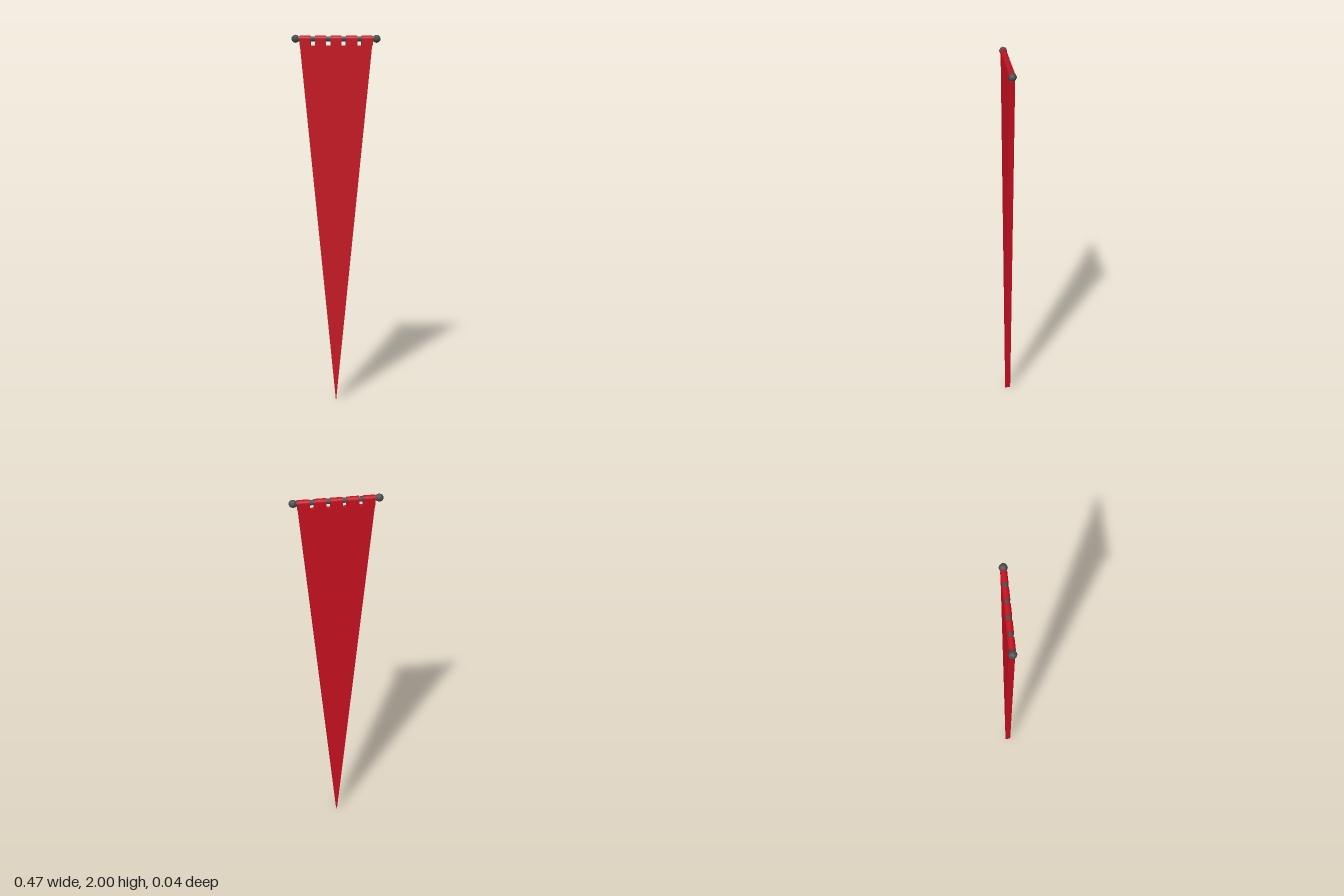
import * as THREE from 'three';

const HALF = 0.015; // half thickness of the cloth
const ROD_Y = 1.979;
const NOTCH_Y = 1.945;

export function createModel() {
  const group = new THREE.Group();
  const red = new THREE.MeshStandardMaterial({ color: 0xc4101f });
  const iron = new THREE.MeshStandardMaterial({ color: 0x4c4f4f });

  const add = (geometry, material, name, x = 0, y = 0) => {
    const mesh = new THREE.Mesh(geometry, material);
    mesh.name = name;
    mesh.position.set(x, y, 0);
    group.add(mesh);
    return mesh;
  };

  // long tapering pennant
  const outline = new THREE.Shape([
    new THREE.Vector2(-0.001, 0),
    new THREE.Vector2(0.001, 0),
    new THREE.Vector2(0.19, NOTCH_Y),
    new THREE.Vector2(-0.19, NOTCH_Y),
  ]);
  const cloth = new THREE.ExtrudeGeometry(outline, { depth: 2 * HALF, bevelEnabled: false });
  cloth.translate(0, 0, -HALF);
  add(cloth, red, 'pennantCloth');

  // tabs folded over the rod: rounded profile swept along x
  const profile = new THREE.Shape();
  profile.moveTo(-HALF, NOTCH_Y);
  profile.lineTo(HALF, NOTCH_Y);
  profile.lineTo(HALF, ROD_Y);
  profile.absarc(0, ROD_Y, 0.0165, 0, Math.PI, false);
  profile.lineTo(-HALF, NOTCH_Y);
  const tabWidth = 0.06;
  for (let i = -2; i <= 2; i++) {
    const tab = new THREE.ExtrudeGeometry(profile, { depth: tabWidth, bevelEnabled: false, curveSegments: 8 });
    tab.translate(0, 0, -tabWidth / 2);
    tab.rotateY(Math.PI / 2);
    add(tab, red, 'hangingTab', i * 0.0815);
  }

  // rod with a ball at each end
  const rod = new THREE.CylinderGeometry(0.013, 0.013, 0.42, 12);
  rod.rotateZ(Math.PI / 2);
  add(rod, iron, 'rod', 0, ROD_Y);
  for (const side of [-1, 1]) {
    const ball = new THREE.SphereGeometry(0.021, 8, 6);
    ball.rotateZ(Math.PI / 2);
    add(ball, iron, 'rodEndBall', side * 0.214, ROD_Y);
  }
  return group;
}
